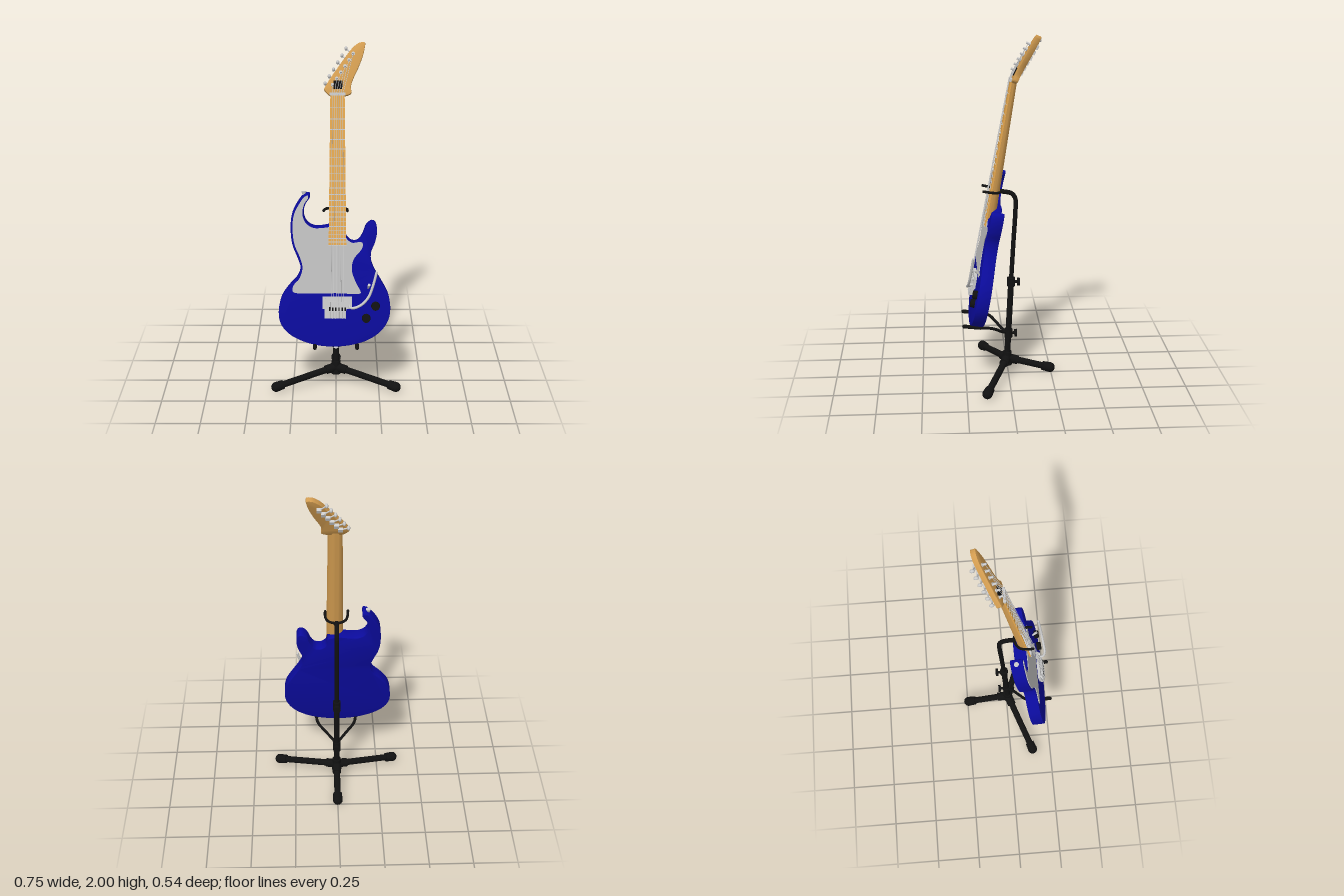
import * as THREE from 'three';
import { toCreasedNormals } from 'three/addons/utils/BufferGeometryUtils.js';

const mat = (name, color) => Object.assign(new THREE.MeshStandardMaterial({ color }), { name });
const M = {
  blue: mat('blue lacquer', 0x0b0b9c), guard: mat('grey guard', 0xc0c0c0), steel: mat('steel', 0xcacaca),
  wood: mat('neck wood', 0xd29c50), board: mat('fretboard maple', 0xe6a84e), black: mat('black', 0x111111),
};
const TILT = 0.178, HEAD_TILT = 0.27, BASE = 0.354, NUT = 1.735;
const V = (x, y, z) => new THREE.Vector3(x, y, z);
// heights above the floor turned into distances along the tilted guitar and its headstock
const up = (y) => (y - BASE) / Math.cos(TILT);
const headUp = (y) => (y - NUT) / Math.cos(TILT + HEAD_TILT);

function add(parent, name, geo, material, x = 0, y = 0, z = 0) {
  const m = new THREE.Mesh(geo, material);
  m.name = name;
  m.position.set(x, y, z);
  parent.add(m);
  return m;
}
const box = (w, h, d) => new THREE.BoxGeometry(w, h, d);
const cyl = (r, h, r2 = r) => new THREE.CylinderGeometry(r2, r, h, 20);

// round bar between two points
function rod(parent, name, a, b, r, material, r2 = r) {
  const d = b.clone().sub(a);
  const m = add(parent, name, cyl(r, d.length(), r2), material);
  m.position.copy(a).add(b).multiplyScalar(0.5);
  m.quaternion.setFromUnitVectors(V(0, 1, 0), d.normalize());
  return m;
}
function tube(parent, name, pts, r, material) {
  const path = new THREE.CatmullRomCurve3(pts.map((p) => V(...p)));
  const m = add(parent, name, new THREE.TubeGeometry(path, 40, r, 10), material);
  for (const p of [pts[0], pts[pts.length - 1]]) add(m, name + 'End', new THREE.SphereGeometry(r, 10, 8), material, ...p);
  return m;
}
// flat slab with a smooth closed outline; its front lies at z = 0
function slab(pts, map, depth, bevel, samples) {
  const curve = new THREE.CatmullRomCurve3(pts.map(([x, y]) => V(x, map(y), 0)), true);
  const outline = curve.getPoints(samples).slice(0, -1).map((p) => new THREE.Vector2(p.x, p.y));
  const geo = new THREE.ExtrudeGeometry(new THREE.Shape(outline), {
    depth: depth - 2 * bevel, bevelEnabled: bevel > 0, bevelThickness: bevel, bevelSize: bevel, bevelOffset: -bevel, bevelSegments: 2,
  });
  geo.translate(0, 0, bevel - depth);
  return toCreasedNormals(geo, 0.6);
}
function warp(geo, rule) {
  const p = geo.attributes.position;
  for (let i = 0; i < p.count; i++) p.setXYZ(i, ...rule(p.getX(i), p.getY(i), p.getZ(i)));
  geo.computeVertexNormals();
  return toCreasedNormals(geo, 0.6);
}

const BODY = [
  [-0.148, 1.2], [-0.175, 1.195], [-0.211, 1.153], [-0.243, 1.09], [-0.252, 1.016], [-0.243, 0.92], [-0.212, 0.84],
  [-0.198, 0.79], [-0.215, 0.735], [-0.262, 0.683], [-0.305, 0.62], [-0.322, 0.54], [-0.31, 0.47], [-0.264, 0.413],
  [-0.185, 0.37], [-0.095, 0.346], [0, 0.34], [0.09, 0.35], [0.18, 0.378], [0.254, 0.43], [0.296, 0.497], [0.305, 0.57],
  [0.291, 0.64], [0.254, 0.709], [0.217, 0.772], [0.196, 0.825], [0.196, 0.878], [0.217, 0.931], [0.228, 0.995],
  [0.219, 1.037], [0.2, 1.046], [0.17, 1.026], [0.148, 0.974], [0.122, 0.938], [0.088, 0.935], [0.058, 0.962], [0.048, 1.01],
  [0.0, 1.026], [-0.04, 1.024], [-0.075, 1.018], [-0.122, 1.018], [-0.162, 1.042], [-0.18, 1.09], [-0.169, 1.143], [-0.145, 1.18],
];
const GUARD = [
  [-0.155, 1.19], [-0.175, 1.183], [-0.203, 1.145], [-0.233, 1.085], [-0.241, 1.016], [-0.232, 0.925], [-0.2, 0.845],
  [-0.187, 0.79], [-0.205, 0.728], [-0.238, 0.69], [-0.243, 0.66], [-0.235, 0.65], [0, 0.647], [0.13, 0.644], [0.139, 0.65],
  [0.11, 0.71], [0.088, 0.78], [0.1, 0.84], [0.143, 0.895], [0.15, 0.922], [0.14, 0.934], [0.088, 0.93], [0.054, 0.96],
  [0.042, 1.008], [0, 1.02], [-0.075, 1.012], [-0.124, 1.012], [-0.167, 1.038], [-0.186, 1.09], [-0.175, 1.145], [-0.155, 1.175],
];
const HEAD = [
  [-0.03, 1.732], [-0.056, 1.752], [-0.065, 1.764], [-0.058, 1.778], [-0.03, 1.82], [0.01, 1.872], [0.055, 1.93], [0.095, 1.975],
  [0.13, 1.997], [0.158, 1.996], [0.157, 1.975], [0.145, 1.93], [0.12, 1.87], [0.092, 1.815], [0.08, 1.775], [0.084, 1.75],
  [0.08, 1.743], [0.05, 1.732],
];

function buildHeadstock(guitar) {
  const head = new THREE.Group();
  head.name = 'headstock';
  head.position.set(0, up(NUT), 0.008);
  head.rotation.x = -HEAD_TILT;
  guitar.add(head);
  add(head, 'headPlate', slab(HEAD, headUp, 0.03, 0.004, 90), M.wood);
  add(head, 'nutCover', box(0.05, 0.045, 0.008), M.black, 0.01, 0.055, 0.003);
  for (let i = 0; i < 6; i++) {
    const t = i / 5;
    const post = V(-0.018 + 0.111 * t, headUp(1.785 + 0.155 * t), 0);
    const key = V(-0.06 + 0.115 * t, headUp(1.8 + 0.175 * t), -0.038);
    rod(head, 'tunerPost', V(post.x, post.y, -0.03), V(post.x, post.y, 0.024), 0.006, M.steel);
    add(head, 'tunerWasher', cyl(0.01, 0.006), M.steel, post.x, post.y, 0.002).rotation.x = Math.PI / 2;
    add(head, 'tunerBox', box(0.026, 0.022, 0.018), M.steel, post.x, post.y, -0.038);
    rod(head, 'tunerShaft', V(post.x, post.y, -0.038), key, 0.004, M.steel);
    add(head, 'tunerKey', new THREE.SphereGeometry(0.012, 14, 10), M.steel, key.x, key.y, key.z).scale.set(0.75, 1, 1.15);
    rod(head, 'headString', V(0.008 + (i - 2.5) * 0.0115, 0, 0.008), V(post.x, post.y, 0.014), 0.0014, M.steel);
  }
}

function buildGuitar() {
  const guitar = new THREE.Group();
  guitar.name = 'guitar';
  guitar.position.set(0, BASE, 0.2275);
  guitar.rotation.x = -TILT;
  add(guitar, 'body', slab(BODY, up, 0.071, 0.005, 180), M.blue);
  add(guitar, 'pickguard', slab(GUARD, up, 0.005, 0, 150), M.guard, 0, 0, 0.004);

  // neck: half round, wider and deeper towards the body
  const y0 = up(0.92), y1 = up(NUT + 0.005), len = y1 - y0, cx = 0.008;
  const half = (t) => 0.049 - 0.01 * t;
  const neck = new THREE.CylinderGeometry(1, 1, 1, 20, 1, false, Math.PI / 2, Math.PI);
  add(guitar, 'neck', warp(neck, (x, y, z) => [cx + x * half(y + 0.5), y0 + (y + 0.5) * len, 0.004 + z * (0.05 - 0.02 * (y + 0.5))]), M.wood);
  add(guitar, 'fretboard', warp(box(2, 1, 0.009), (x, y, z) => [cx + x * half(y + 0.5), y0 + (y + 0.5) * len, 0.008 + z]), M.board);
  for (let i = 1; i <= 22; i++) {
    const y = up(0.6 + 1.13 / 2 ** (i / 12));
    add(guitar, 'fret', box(2 * half((y - y0) / len), 0.004, 0.004), M.steel, cx, y, 0.0135);
  }
  add(guitar, 'nut', box(0.084, 0.016, 0.014), M.steel, cx, y1, 0.011);
  for (let i = 0; i < 6; i++) {
    const k = i - 2.5;
    rod(guitar, 'string', V(cx + k * 0.0135, up(0.585), 0.032), V(cx + k * 0.0115, y1, 0.0185), 0.0014, M.steel);
  }
  buildHeadstock(guitar);

  // bridge with six saddles
  add(guitar, 'bridgePlate', box(0.165, 0.07, 0.016), M.steel, 0.006, up(0.595), 0.012);
  add(guitar, 'bridgeTail', box(0.118, 0.05, 0.022), M.steel, -0.004, up(0.535), 0.016);
  for (let i = 0; i < 6; i++) {
    const x = cx + (i - 2.5) * 0.0175;
    add(guitar, 'saddle', box(0.013, 0.05, 0.014), M.steel, x, up(0.58), 0.026);
    add(guitar, 'saddleGap', box(0.008, 0.02, 0.004), M.black, x, up(0.565), 0.032);
    rod(guitar, 'tuningScrew', V(x, up(0.51), 0.03), V(x, up(0.55), 0.03), 0.0045, M.steel);
  }
  for (const x of [-0.065, 0.077]) add(guitar, 'bridgeStud', cyl(0.01, 0.012), M.steel, x, up(0.615), 0.022).rotation.x = Math.PI / 2;

  // tremolo arm
  tube(guitar, 'tremoloArm', [[0.075, up(0.58), 0.015], [0.078, up(0.575), 0.04], [0.1, up(0.575), 0.052], [0.14, up(0.592), 0.052],
    [0.18, up(0.635), 0.052], [0.205, up(0.7), 0.054], [0.225, up(0.775), 0.056]], 0.0075, M.steel);

  // controls and strap buttons
  for (const [x, y] of [[0.222, 0.574], [0.17, 0.505]]) {
    add(guitar, 'knob', cyl(0.025, 0.024, 0.022), M.black, x, up(y), 0.012).rotation.x = Math.PI / 2;
  }
  rod(guitar, 'selectorSwitch', V(0.18, up(0.675), 0), V(0.185, up(0.7), 0.03), 0.005, M.steel, 0.008);
  add(guitar, 'strapButton', cyl(0.007, 0.022, 0.014), M.steel, -0.178, up(1.198), -0.035);
  add(guitar, 'strapButton', cyl(0.014, 0.022, 0.007), M.steel, 0, up(0.336), -0.035);
  return guitar;
}

function buildStand() {
  const stand = new THREE.Group();
  stand.name = 'stand';
  const hub = V(0, 0.1, 0.008);
  rod(stand, 'hub', V(0, 0.06, 0.01), V(0, 0.14, 0.006), 0.03, M.black, 0.025);

  // three legs with rubber feet
  for (const end of [V(0.348, 0.034, 0.138), V(-0.348, 0.034, 0.138), V(0, 0.032, -0.244)]) {
    const d = end.clone().sub(hub).normalize();
    const footStart = end.clone().addScaledVector(d, -0.045);
    rod(stand, 'leg', hub, end, 0.019, M.black);
    rod(stand, 'legSocket', hub, hub.clone().addScaledVector(d, 0.065), 0.026, M.black);
    rod(stand, 'foot', footStart, end, 0.026, M.black, 0.029);
    add(stand, 'footTip', new THREE.SphereGeometry(0.029, 18, 12), M.black, end.x, end.y, end.z);
  }

  // telescopic pole with clamps
  rod(stand, 'lowerPole', V(0, 0.1, 0.008), V(0, 0.58, -0.016), 0.017, M.black);
  tube(stand, 'upperPole', [[0, 0.55, -0.014], [0, 0.8, -0.028], [0, 1.0, -0.04], [0, 1.06, -0.04], [0, 1.093, -0.022],
    [0, 1.104, 0.01], [0, 1.108, 0.045]], 0.013, M.black);
  for (const [y, z] of [[0.255, 0], [0.57, -0.015]]) {
    add(stand, 'clamp', cyl(0.023, 0.05), M.black, 0, y, z);
    rod(stand, 'clampScrew', V(0, y, z), V(0, y, z - 0.04), 0.008, M.black);
    rod(stand, 'clampKnob', V(0, y, z - 0.035), V(0, y, z - 0.05), 0.022, M.black);
  }

  // neck yoke and body cradle
  tube(stand, 'neckYoke', [[-0.068, 1.126, 0.142], [-0.064, 1.117, 0.1], [-0.05, 1.111, 0.065], [0, 1.108, 0.042],
    [0.05, 1.111, 0.065], [0.062, 1.117, 0.1], [0.062, 1.124, 0.142]], 0.0075, M.black);
  for (const s of [-1, 1]) {
    tube(stand, 'cradleArm', [[0, 0.258, 0.005], [s * 0.025, 0.272, 0.035], [s * 0.07, 0.305, 0.075], [s * 0.105, 0.328, 0.11],
      [s * 0.118, 0.336, 0.16], [s * 0.119, 0.349, 0.262]], 0.0085, M.black);
    rod(stand, 'cradlePad', V(s * 0.118, 0.337, 0.165), V(s * 0.119, 0.349, 0.264), 0.011, M.black);
  }
  return stand;
}

export function createModel() {
  const model = new THREE.Group();
  model.name = 'guitarOnStand';
  model.add(buildGuitar(), buildStand());
  return model;
}
